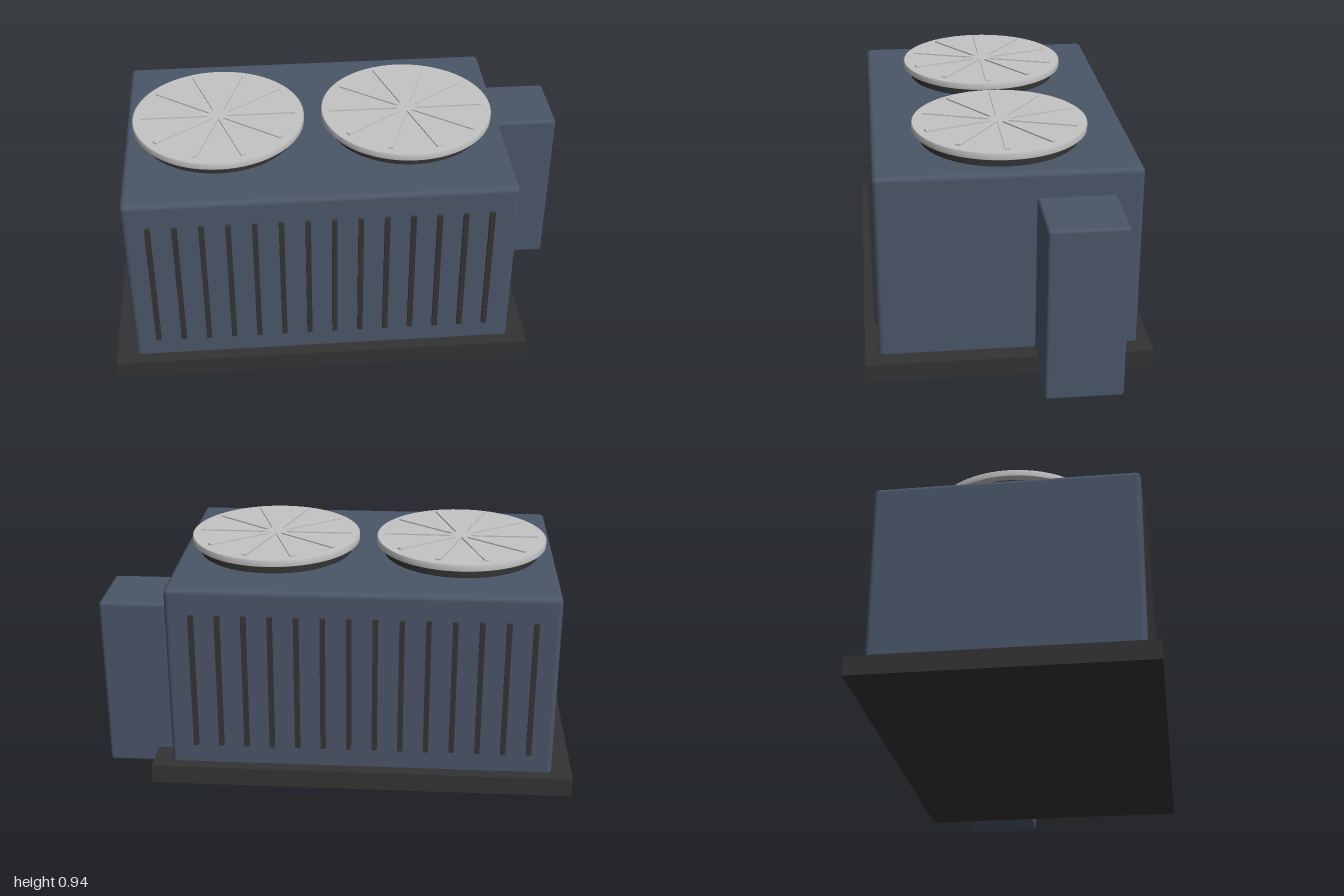
import * as THREE from 'three';
import { RoundedBoxGeometry } from 'three/addons/geometries/RoundedBoxGeometry.js';

const material = (name, color) => {
  const m = new THREE.MeshStandardMaterial({ color });
  m.name = name;
  return m;
};

export function createModel() {
  const group = new THREE.Group();
  group.name = 'rooftopCoolingUnit';
  const blue = material('slate blue paint', 0x4a5568);
  const dark = material('dark grey', 0x333333);
  const silver = material('light grey metal', 0xc4c4c4);

  const add = (parent, name, geometry, mat, x = 0, y = 0, z = 0) => {
    const mesh = new THREE.Mesh(geometry, mat);
    mesh.name = name;
    mesh.position.set(x, y, z);
    parent.add(mesh);
    return mesh;
  };

  // Base slab, cabinet and side service box
  add(group, 'baseSlab', new THREE.BoxGeometry(1.78, 0.08, 1.19), dark, -0.11, 0.04, 0);
  add(group, 'cabinet', new RoundedBoxGeometry(1.615, 0.82, 1.08, 4, 0.022), blue, -0.108, 0.46, 0);
  add(group, 'serviceBox', new RoundedBoxGeometry(0.32, 0.75, 0.32, 4, 0.014), blue, 0.838, 0.384, -0.27);

  // Vertical vent slats on the front and back
  const slat = new THREE.BoxGeometry(0.022, 0.595, 0.028);
  for (const side of [1, -1]) {
    for (let i = 0; i < 14; i++) {
      add(group, side > 0 ? 'frontSlat' : 'backSlat', slat, dark, -0.814 + i * 0.108, 0.463, side * 0.54);
    }
  }

  // Two fans: dark collar, round cover and radial ribs
  const collar = new THREE.CylinderGeometry(0.335, 0.335, 0.06, 64);
  const cover = new THREE.LatheGeometry([
    [0, 0.909], [0.364, 0.909], [0.367, 0.912], [0.367, 0.936], [0.362, 0.939], [0, 0.939],
  ].map(([r, y]) => new THREE.Vector2(r, y)), 64);
  const rib = new THREE.BoxGeometry(0.66, 0.012, 0.022);
  for (const x of [-0.515, 0.294]) {
    const fan = new THREE.Group();
    fan.name = 'fan';
    fan.position.x = x;
    group.add(fan);
    add(fan, 'fanCollar', collar, dark, 0, 0.885, 0);
    add(fan, 'fanCover', cover, silver);
    for (let i = 0; i < 5; i++) {
      add(fan, 'fanRib', rib, silver, 0, 0.939, 0).rotation.y = (i * Math.PI) / 5;
    }
  }
  return group;
}
